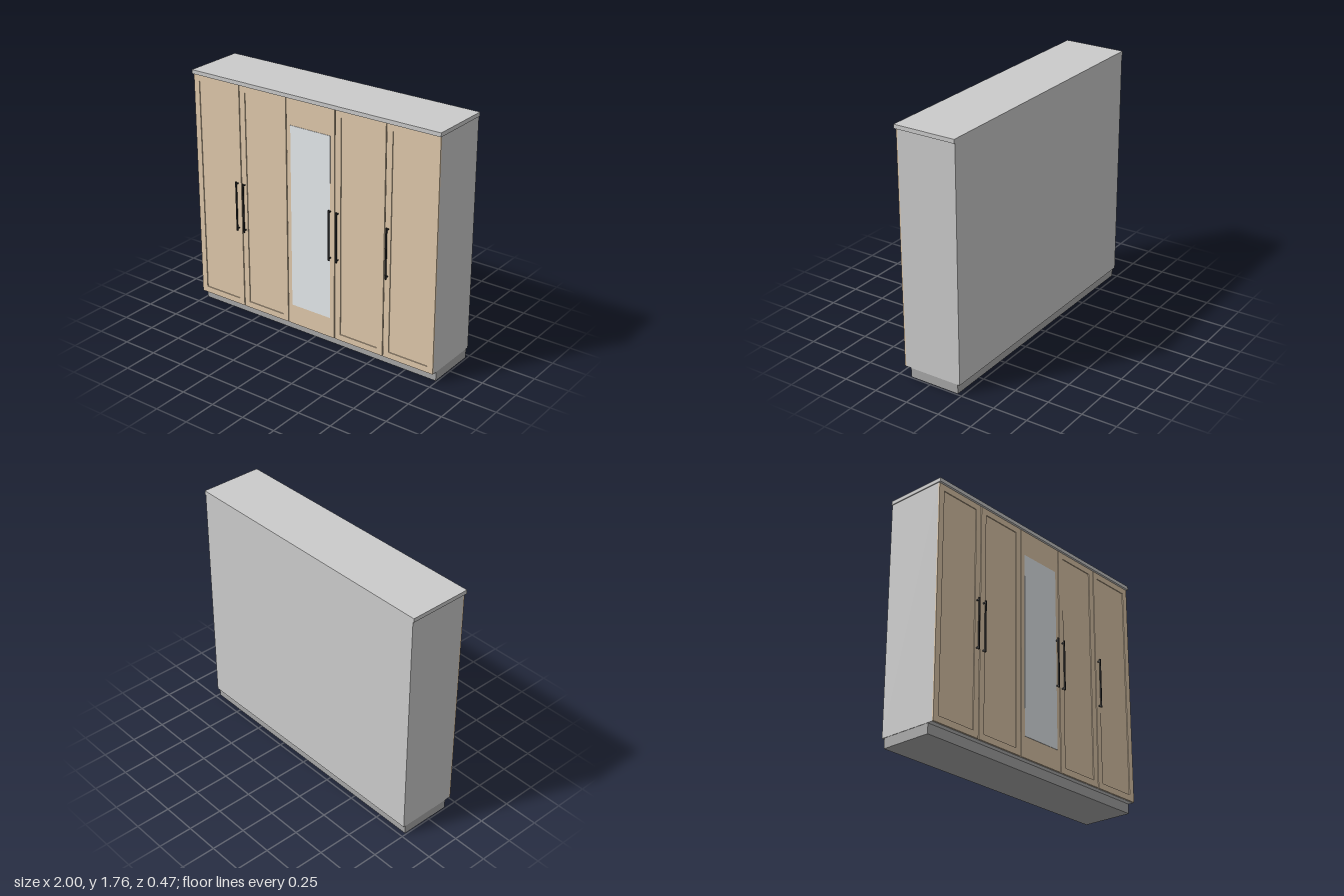
import * as THREE from 'three';

const material = (color) => new THREE.MeshStandardMaterial({ color });

// Box given by its min and max corners
function block(name, mat, [x0, y0, z0], [x1, y1, z1]) {
  const mesh = new THREE.Mesh(new THREE.BoxGeometry(x1 - x0, y1 - y0, z1 - z0), mat);
  mesh.position.set((x0 + x1) / 2, (y0 + y1) / 2, (z0 + z1) / 2);
  mesh.name = name;
  return mesh;
}

function rectangle(target, x0, y0, x1, y1) {
  target.moveTo(x0, y0);
  target.lineTo(x1, y0);
  target.lineTo(x1, y1);
  target.lineTo(x0, y1);
  target.closePath();
  return target;
}

export function createModel() {
  const grey = material(0xcccccc);
  const plinthGrey = material(0xa8a8a8);
  const wood = material(0xe1caac);
  const glass = material(0xe7ecef);
  const black = material(0x2a2a2a);

  const model = new THREE.Group();
  model.name = 'wardrobe';

  // Carcass, recessed plinth and overhanging top
  model.add(block('plinth', plinthGrey, [-0.99, 0, -0.215], [0.99, 0.07, 0.16]));
  model.add(block('carcass', grey, [-0.993, 0.07, -0.233], [0.993, 1.737, 0.197]));
  model.add(block('topPanel', grey, [-1, 1.737, -0.233], [1, 1.765, 0.219]));

  // Five doors: the middle one is plain with a mirror, the others have a sunken panel
  const pitch = 1.986 / 5, gap = 0.003, margin = 0.045;
  const bottom = 0.072, top = 1.734, back = 0.197, front = 0.207;
  for (let i = 0; i < 5; i++) {
    const x0 = -0.993 + i * pitch + (i > 0 ? gap : 0);
    const x1 = -0.993 + (i + 1) * pitch - (i < 4 ? gap : 0);
    const door = new THREE.Group();
    door.name = `door${i + 1}`;
    if (i === 2) {
      door.add(block('doorPanel', wood, [x0, bottom, back], [x1, top, front]));
      door.add(block('mirror', glass, [-0.162, 0.22, front], [0.162, 1.548, 0.21]));
    } else {
      const shape = rectangle(new THREE.Shape(), x0, bottom, x1, top);
      shape.holes.push(rectangle(new THREE.Path(),
        x0 + margin, bottom + margin, x1 - margin, top - margin));
      const frame = new THREE.Mesh(
        new THREE.ExtrudeGeometry(shape, { depth: front - back, bevelEnabled: false }), wood);
      frame.position.z = back;
      frame.name = 'doorFrame';
      door.add(frame, block('sunkenPanel', wood,
        [x0 + margin, bottom + margin, back], [x1 - margin, top - margin, 0.201]));
    }
    model.add(door);
  }

  // Bar handles, each on two short posts
  for (const x of [-0.627, -0.567, 0.165, 0.226, 0.623]) {
    const handle = new THREE.Group();
    handle.name = 'handle';
    handle.add(block('bar', black, [x - 0.005, 0.665, 0.225], [x + 0.005, 1.033, 0.233]));
    for (const y of [0.68, 1.018]) {
      handle.add(block('post', black, [x - 0.004, y - 0.004, front - 0.002], [x + 0.004, y + 0.004, 0.226]));
    }
    model.add(handle);
  }
  return model;
}
